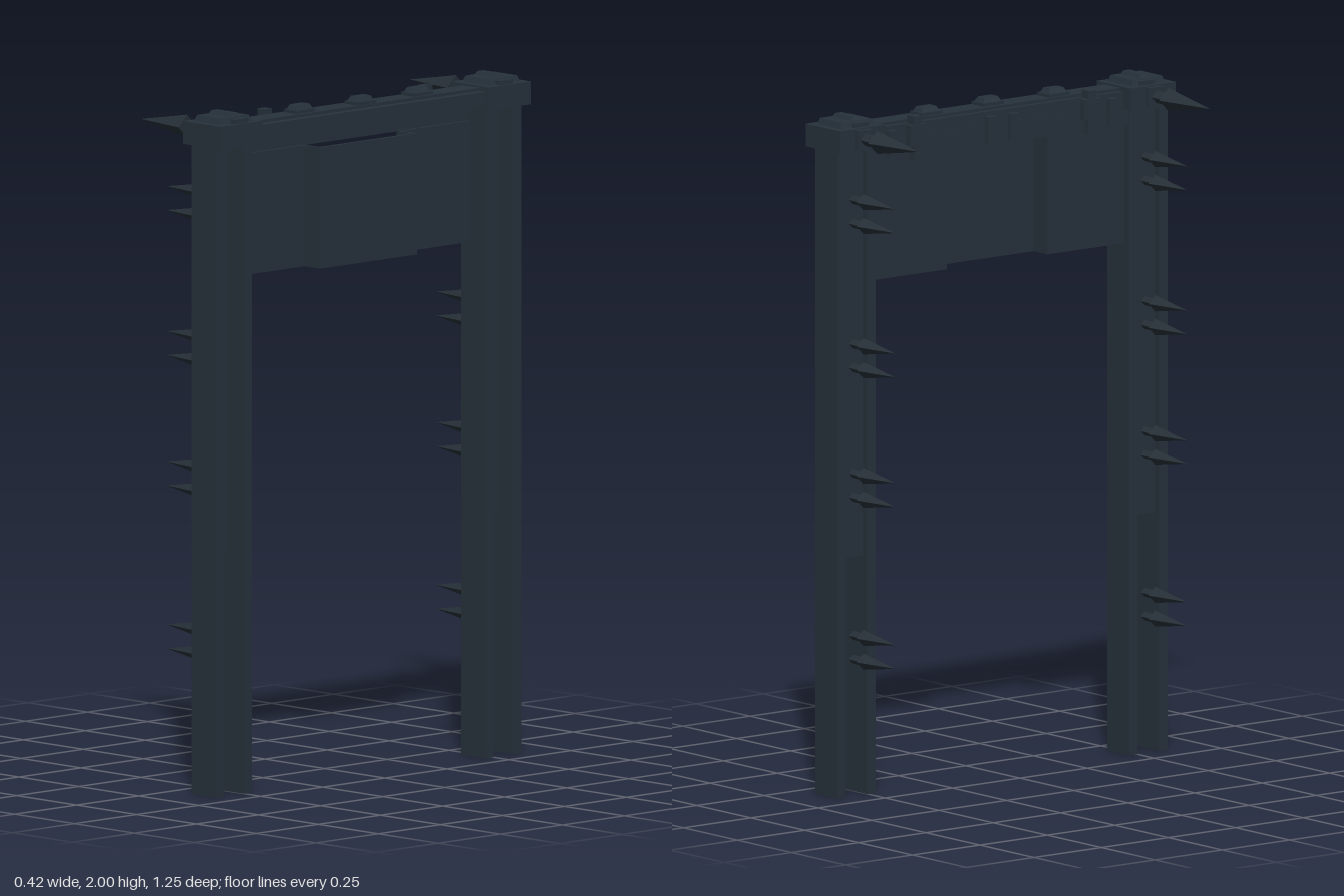
import * as THREE from 'three';

const steel = new THREE.MeshStandardMaterial({ color: 0x26313b });
steel.name = 'dark blue steel';
const iron = new THREE.MeshStandardMaterial({ color: 0x252f36, flatShading: true });
iron.name = 'spike iron';

// Box given by its limits; taper insets the top edge on every side
function block(parent, name, [x0, x1], [y0, y1], [z0, z1], taper = 0) {
  const w = x1 - x0, h = y1 - y0, d = z1 - z0;
  const geo = new THREE.BoxGeometry(w, h, d);
  if (taper) {
    const p = geo.attributes.position;
    for (let i = 0; i < p.count; i++) {
      if (p.getY(i) > 0) {
        p.setX(i, p.getX(i) * (1 - 2 * taper / w));
        p.setZ(i, p.getZ(i) * (1 - 2 * taper / d));
      }
    }
    geo.computeVertexNormals();
  }
  const mesh = new THREE.Mesh(geo, steel);
  mesh.name = name;
  mesh.position.set((x0 + x1) / 2, (y0 + y1) / 2, (z0 + z1) / 2);
  parent.add(mesh);
  return mesh;
}

// Four-sided spike pointing to -x: stem from root to neck, then head to tip
function spike(parent, name, y, z, root, neck, tip, radius) {
  const group = new THREE.Group();
  group.name = name;
  const stem = new THREE.Mesh(
    new THREE.CylinderGeometry(radius * 0.55, radius * 0.55, root - neck, 4), iron);
  stem.name = 'spikeStem';
  stem.position.y = -(root + neck) / 2;
  const head = new THREE.Mesh(new THREE.ConeGeometry(radius, neck - tip, 4), iron);
  head.name = 'spikeHead';
  head.position.y = -(neck + tip) / 2;
  group.add(stem, head);
  group.rotation.z = Math.PI / 2;
  group.position.set(0, y, z);
  parent.add(group);
}

// Post: two rails, recessed web, cap and spikes
function post(side) {
  const g = new THREE.Group();
  g.name = side > 0 ? 'frontPost' : 'backPost';
  const span = (a, b) => (side > 0 ? [a, b] : [-b, -a]);

  block(g, 'outerRail', [0.08, 0.183], [0, 1.91], span(0.583, 0.614));
  block(g, 'innerRail', [0.08, 0.183], [0, 1.91], span(0.47, 0.502));
  block(g, 'postWeb', [0.1, 0.115], [0.7, 1.91], span(0.502, 0.583));

  block(g, 'cap', [0.055, 0.213], [1.905, 1.972], span(0.455, 0.625));
  block(g, 'capTop', [0.078, 0.19], [1.972, 1.99], span(0.478, 0.602), 0.006);
  block(g, 'capStrap', [0.07, 0.205], [1.965, 1.985], span(0.505, 0.56));
  block(g, 'capRidge', [0.085, 0.183], [1.985, 2.0], span(0.515, 0.555), 0.008);
  block(g, 'spikeMount', [0.04, 0.056], [1.912, 1.968], span(0.512, 0.568));

  spike(g, 'capSpike', 1.94, side * 0.541, 0.06, -0.015, -0.208, 0.034);
  for (const y of [0.435, 0.912, 1.295, 1.72]) {
    for (const dy of [-0.035, 0.035]) {
      spike(g, 'postSpike', y + dy, side * 0.542, 0.1, 0.048, -0.1, 0.024);
    }
  }
  return g;
}

export function createModel() {
  const model = new THREE.Group();
  model.name = 'spikedGateway';
  model.add(post(1), post(-1));

  // Folded panel: recessed wings with a raised, open-backed middle
  const panel = new THREE.Group();
  panel.name = 'foldedPanel';
  const py = [1.507, 1.862];
  block(panel, 'middlePanel', [0.17, 0.182], py, [-0.195, 0.195]);
  for (const s of [1, -1]) {
    const span = (a, b) => (s > 0 ? [a, b] : [-b, -a]);
    block(panel, 'wingPanel', [0.105, 0.117], py, span(0.195, 0.47));
    block(panel, 'panelReturn', [0.105, 0.182], py, span(0.187, 0.195));
  }
  model.add(panel);

  // Lintel: top plate with lip and a back plate
  const lintel = new THREE.Group();
  lintel.name = 'lintel';
  block(lintel, 'topPlate', [0.09, 0.2], [1.918, 1.958], [-0.47, 0.47]);
  block(lintel, 'topStrip', [0.105, 0.175], [1.958, 1.967], [-0.47, 0.47]);
  block(lintel, 'backPlate', [0.088, 0.106], [1.86, 1.92], [-0.47, 0.47]);

  // Studs along the top
  for (const [x, z] of [[0.138, -0.237], [0.146, -0.002], [0.138, 0.235]]) {
    block(lintel, 'topStud', [x - 0.027, x + 0.027], [1.96, 1.976], [z - 0.038, z + 0.038]);
    block(lintel, 'studCrown', [x - 0.022, x + 0.022], [1.976, 1.99], [z - 0.032, z + 0.032], 0.007);
  }

  // Brackets on the back edge
  for (const s of [1, -1]) {
    const z = s * 0.323;
    block(lintel, 'bracket', [0.065, 0.1], [1.895, 1.955], [z - 0.03, z + 0.03]);
    block(lintel, 'bracketTab', [0.068, 0.098], [1.955, 1.98], [z - 0.015, z + 0.015]);
    block(lintel, 'bracketFoot', [0.065, 0.09], [1.85, 1.895], [z - 0.015, z + 0.015]);
    for (const c of [s * 0.408, s * 0.042]) {
      block(lintel, 'backClip', [0.074, 0.098], [1.865, 1.945], [c - 0.016, c + 0.016]);
    }
  }
  model.add(lintel);
  return model;
}
